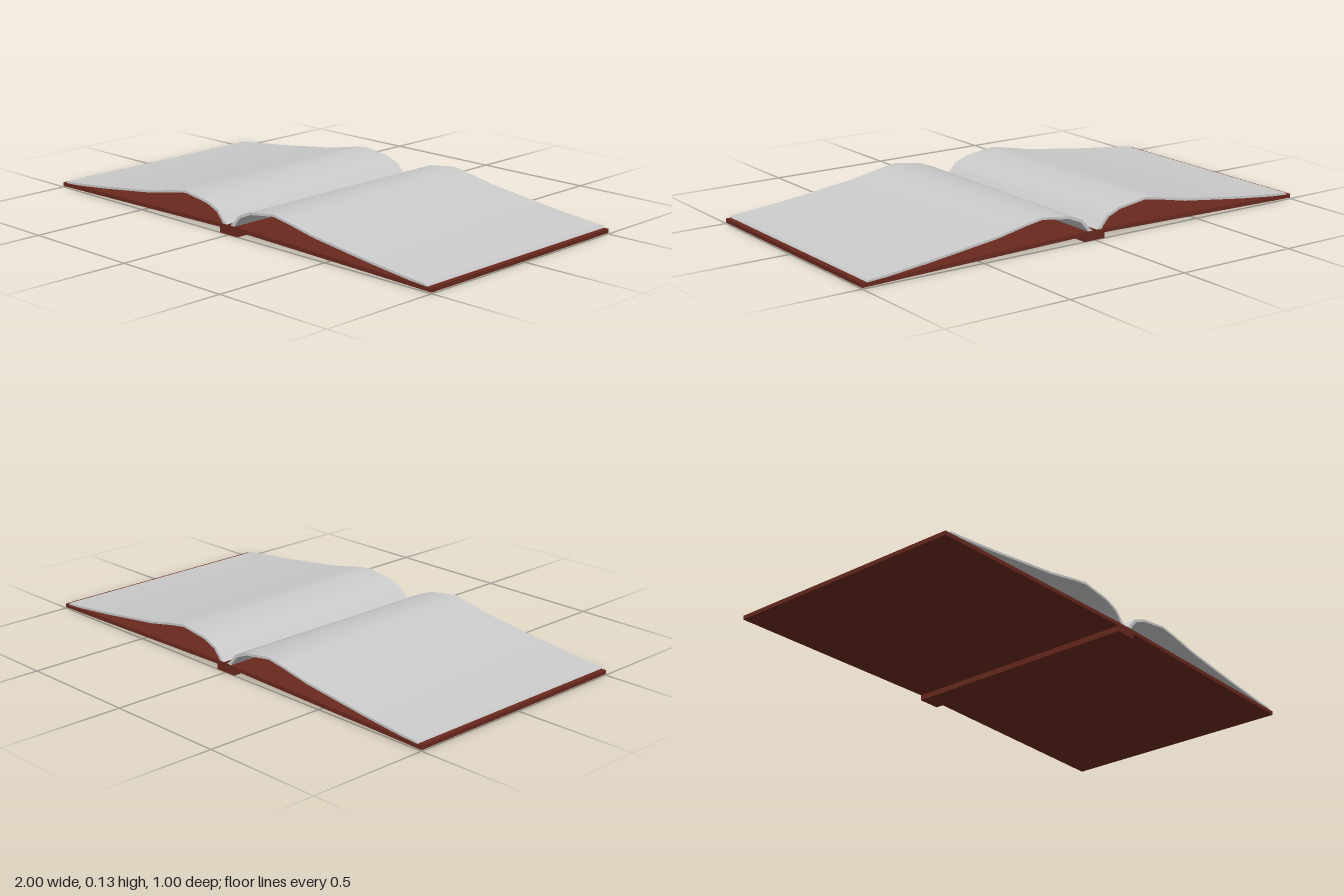
import * as THREE from 'three';
import { toCreasedNormals } from 'three/addons/utils/BufferGeometryUtils.js';

const DEPTH = 1;
const coverMat = new THREE.MeshStandardMaterial({ color: 0x6a291e });
const pageMat = new THREE.MeshStandardMaterial({ color: 0xcccccc });

// Extrude an x-y outline along z, centred, smoothing only gentle bends
function slab(name, points, material, side = 1) {
  const outline = points.map(([x, y]) => new THREE.Vector2(x * side, y));
  const geo = new THREE.ExtrudeGeometry(new THREE.Shape(outline), { depth: DEPTH, bevelEnabled: false });
  geo.translate(0, 0, -DEPTH / 2);
  const mesh = new THREE.Mesh(toCreasedNormals(geo, 0.6), material);
  mesh.name = name;
  return mesh;
}

// Upper and lower lines of the arched sheet of pages, gutter to outer edge
const pageTop = [
  [0.01, 0.038], [0.03, 0.056], [0.057, 0.086], [0.115, 0.109], [0.24, 0.126],
  [0.31, 0.115], [0.44, 0.089], [0.73, 0.052], [0.9, 0.034], [0.975, 0.028],
];
const pageBottom = [
  [0.98, 0.02], [0.9, 0.025], [0.73, 0.043], [0.44, 0.08], [0.31, 0.106],
  [0.24, 0.117], [0.12, 0.1], [0.066, 0.078], [0.042, 0.052], [0.03, 0.035],
];

// Board sloping down from the spine to the outer edge
const board = [[0.003, 0.023], [1, 0.004], [1, 0.02], [0.003, 0.038]];

export function createModel() {
  const book = new THREE.Group();
  book.name = 'openBook';

  // Spine under the gutter
  const spine = new THREE.Mesh(new THREE.BoxGeometry(0.094, 0.034, DEPTH), coverMat);
  spine.position.y = 0.017;
  spine.name = 'spine';
  book.add(spine);

  // Mirrored covers and pages
  for (const [label, side] of [['left', 1], ['right', -1]]) {
    book.add(slab(label + 'Cover', board, coverMat, side));
    book.add(slab(label + 'Pages', [...pageTop, ...pageBottom], pageMat, side));
  }
  return book;
}
